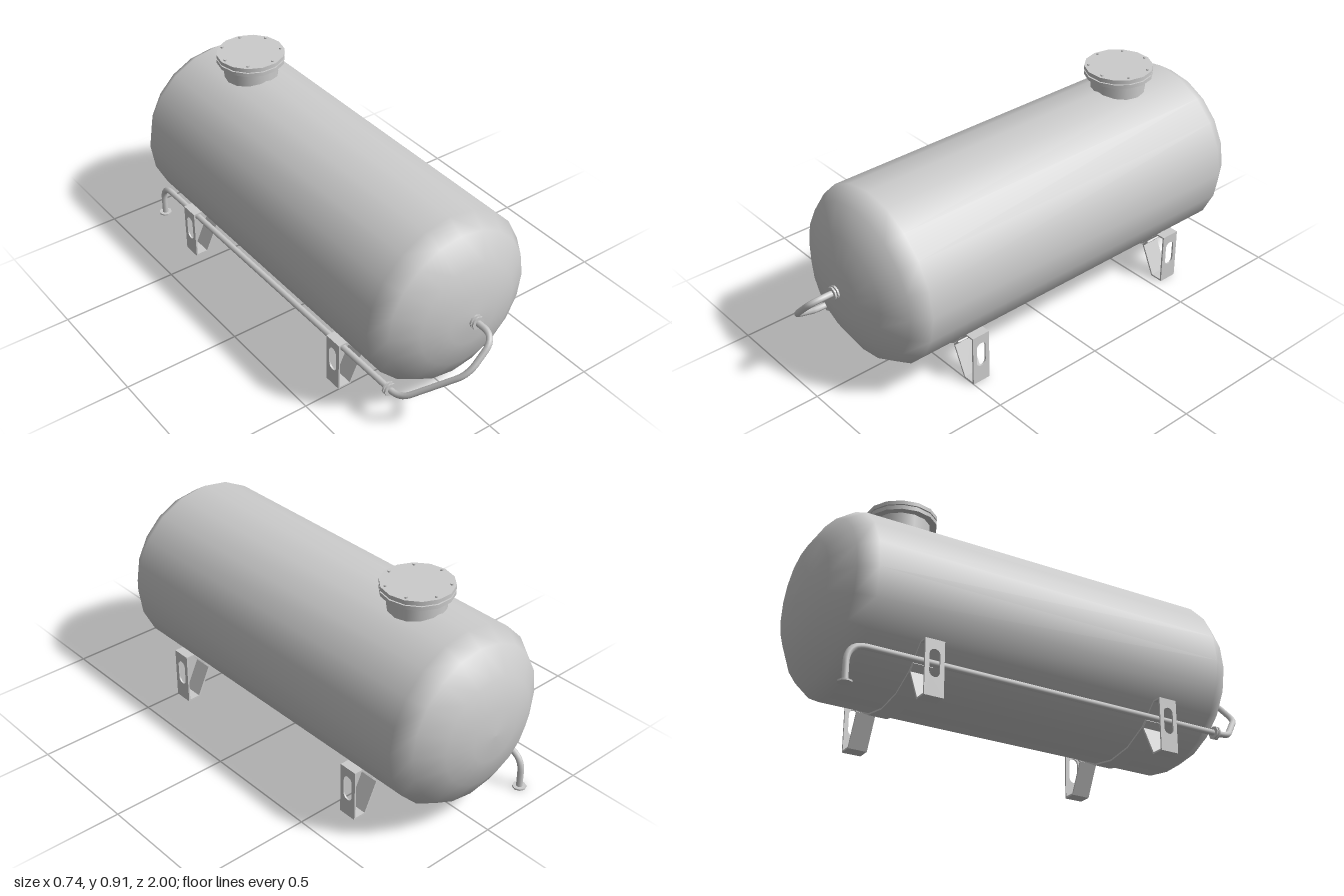
import * as THREE from 'three';

const V2 = (x, y) => new THREE.Vector2(x, y);
const V3 = (x, y, z) => new THREE.Vector3(x, y, z);
const AXIS_Y = 0.44, RADIUS = 0.371, PIPE_X = -0.285, PIPE_Y = 0.155;
const STRAP = 0.007, STRAP_WIDTH = 0.08;

const material = new THREE.MeshStandardMaterial({ color: 0xcccccc });

function add(parent, name, geometry, x = 0, y = 0, z = 0) {
  const mesh = new THREE.Mesh(geometry, material);
  mesh.name = name;
  mesh.position.set(x, y, z);
  parent.add(mesh);
  return mesh;
}

// Bent metal strap: a polyline in x/y given a thickness with mitred corners, extruded along z
function strap(points) {
  const normal = (a, b) => V2(a.y - b.y, b.x - a.x).normalize();
  const sides = [[], []];
  points.forEach((p, i) => {
    const n1 = normal(points[Math.max(i - 1, 0)], points[Math.max(i, 1)]);
    const last = points.length - 1;
    const n2 = normal(points[Math.min(i, last - 1)], points[Math.min(i + 1, last)]);
    const miter = n1.clone().add(n2).normalize();
    miter.multiplyScalar(STRAP / 2 / miter.dot(n1));
    sides[0].push(p.clone().add(miter));
    sides[1].unshift(p.clone().sub(miter));
  });
  const shape = new THREE.Shape([...sides[0], ...sides[1]]);
  return new THREE.ExtrudeGeometry(shape, { depth: STRAP_WIDTH, bevelEnabled: false })
    .translate(0, 0, -STRAP_WIDTH / 2);
}

// Upright foot plate with a rounded slot, facing sideways
function slottedPlate(bottom, top) {
  const w = STRAP_WIDTH / 2, r = 0.022, low = 0.097, high = 0.163;
  const shape = new THREE.Shape([V2(-w, bottom), V2(w, bottom), V2(w, top), V2(-w, top)]);
  const slot = new THREE.Path();
  slot.absarc(0, high, r, 0, Math.PI, false);
  slot.absarc(0, low, r, Math.PI, Math.PI * 2, false);
  slot.closePath();
  shape.holes.push(slot);
  return new THREE.ExtrudeGeometry(shape, { depth: STRAP, bevelEnabled: false, curveSegments: 8 })
    .translate(0, 0, -STRAP / 2).rotateY(Math.PI / 2);
}

// Path of straight runs joined by rounded corners
function roundedPath(points, radii) {
  const path = new THREE.CurvePath();
  let from = points[0];
  for (let i = 1; i < points.length - 1; i++) {
    const p = points[i], r = radii[i - 1];
    const a = p.clone().add(points[i - 1].clone().sub(p).setLength(r));
    const b = p.clone().add(points[i + 1].clone().sub(p).setLength(r));
    path.add(new THREE.LineCurve3(from, a));
    path.add(new THREE.QuadraticBezierCurve3(a, p, b));
    from = b;
  }
  path.add(new THREE.LineCurve3(from, points[points.length - 1]));
  return path;
}

function createTank() {
  const profile = [
    [0, -1], [0.11, -0.995], [0.222, -0.965], [0.325, -0.9], [RADIUS, -0.83],
    [RADIUS, 0.705], [0.325, 0.775], [0.222, 0.835], [0.11, 0.865], [0, 0.87],
  ].map(([r, z]) => V2(r, z));
  return new THREE.LatheGeometry(profile, 20).rotateX(Math.PI / 2);
}

function createManhole() {
  const group = new THREE.Group();
  group.name = 'manhole';
  group.position.z = -0.575;
  const disc = (name, r, y0, y1) => add(group, name,
    new THREE.CylinderGeometry(r, r, y1 - y0, 14).rotateY(Math.PI / 2), 0, (y0 + y1) / 2, 0);
  disc('neck', 0.114, 0.74, 0.865);
  disc('neckFlange', 0.143, 0.862, 0.878);
  disc('gasket', 0.136, 0.878, 0.884);
  disc('cover', 0.143, 0.884, 0.9);
  // Seven bolt heads around the cover
  const bolt = new THREE.CylinderGeometry(0.006, 0.006, 0.008, 6);
  for (let i = 0; i < 7; i++) {
    const a = Math.PI + (i / 7) * Math.PI * 2;
    add(group, 'coverBolt', bolt, Math.cos(a) * 0.125, 0.902, Math.sin(a) * 0.125);
  }
  return group;
}

function createSupport(z) {
  const group = new THREE.Group();
  group.name = 'support';
  group.position.z = z;
  const footX = 0.338, baseY = STRAP / 2, r = RADIUS + 0.004;
  // Saddle follows the tank's underside and ends in a level shoulder each side
  const saddle = [];
  for (let k = -3; k <= 3; k++) {
    const a = k * Math.PI / 10;
    saddle.push(V2(Math.sin(a) * r, AXIS_Y - Math.cos(a) * r));
  }
  const topY = saddle[0].y;
  add(group, 'saddle', strap([V2(-footX, topY), ...saddle, V2(footX, topY)]));
  // Foot: tab against the saddle, sloping brace, base and slotted plate
  for (const s of [-1, 1]) {
    const brace = [V2(s * 0.25, 0.156), V2(s * 0.226, 0.13), V2(s * 0.286, baseY), V2(s * footX, baseY)];
    if (s < 0) brace.reverse();
    add(group, 'brace', strap(brace));
    add(group, 'footPlate', slottedPlate(0, topY + STRAP / 2), s * footX, 0, 0);
  }
  return group;
}

function createPipe() {
  const group = new THREE.Group();
  group.name = 'drainPipe';
  // The front bend lies in a plane sloping down to the right side
  const bend = (s, z) => V3(-s, AXIS_Y - s, z);
  const path = roundedPath([
    bend(0, 0.85), bend(0, 0.987), bend(0.12, 0.987), bend(-PIPE_X, 0.805),
    V3(PIPE_X, PIPE_Y, -0.905), V3(PIPE_X, 0, -0.905),
  ], [0.065, 0.05, 0.05, 0.08]);
  add(group, 'pipe', new THREE.TubeGeometry(path, 180, 0.013, 8));

  // Paired joint flanges and the outlet flange on the ground
  const flange = new THREE.CylinderGeometry(0.028, 0.028, 0.007, 8);
  const upright = flange.clone().rotateX(Math.PI / 2);
  for (const dz of [-0.006, 0.006]) {
    add(group, 'tankFlange', upright, 0, AXIS_Y, 0.886 + dz);
    add(group, 'jointFlange', upright, PIPE_X, PIPE_Y, 0.74 + dz);
  }
  add(group, 'outletFlange', flange, PIPE_X, 0.0035, -0.905);
  return group;
}

export function createModel() {
  const model = new THREE.Group();
  model.name = 'storageTank';
  add(model, 'tank', createTank(), 0, AXIS_Y, 0);
  model.add(createManhole(), createSupport(0.46), createSupport(-0.585), createPipe());
  return model;
}
